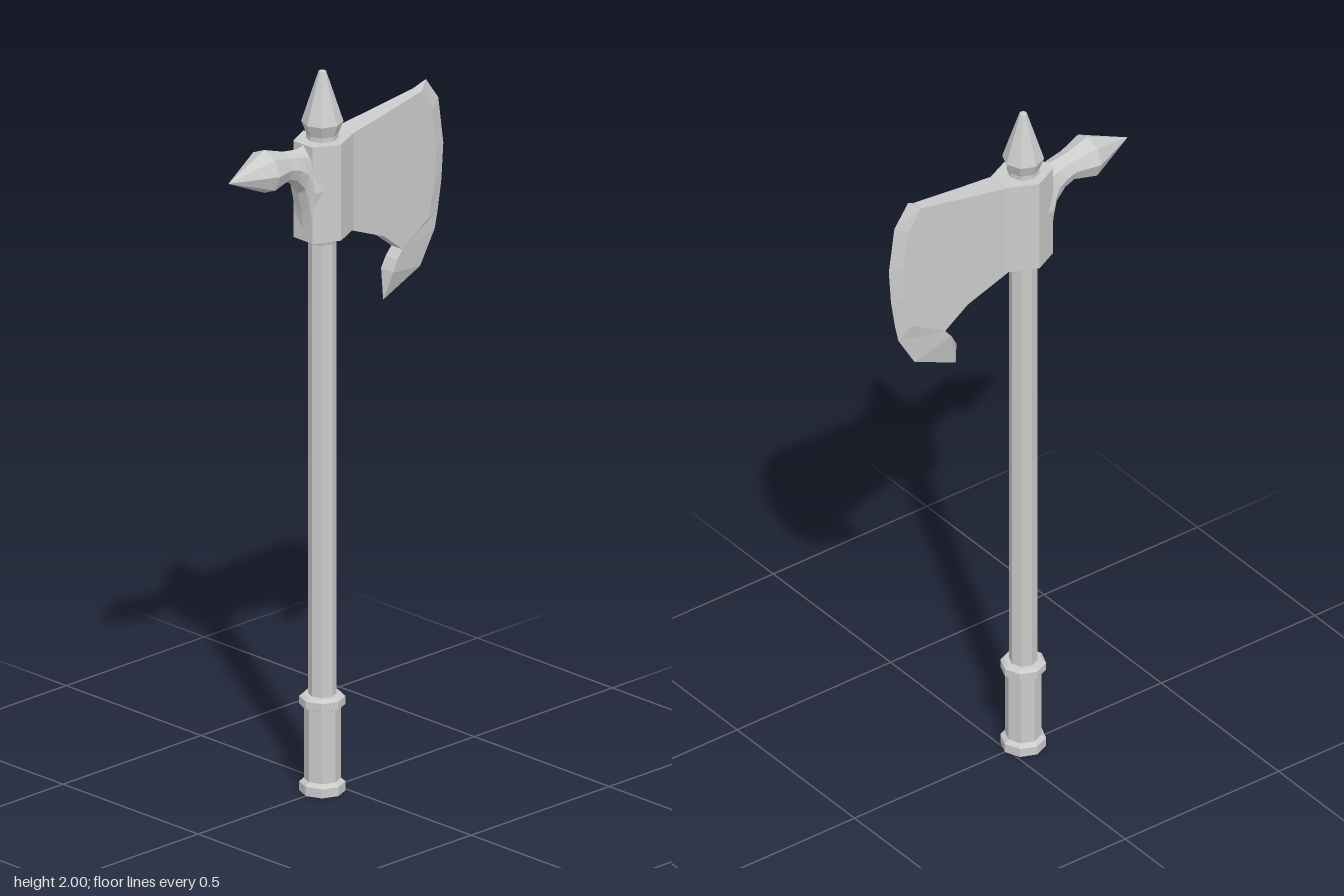
import * as THREE from 'three';

const AXIS_X = -0.05; // the shaft stands left of centre, balancing the blade

const material = new THREE.MeshStandardMaterial({ color: 0xcccccc, flatShading: true });

function addMesh(group, name, geometry) {
  const mesh = new THREE.Mesh(geometry, material);
  mesh.name = name;
  group.add(mesh);
  return mesh;
}

// Closed solid through equal-sized loops of [x, y, z]; loops run counter-clockwise
// about the stacking direction. Both ends are capped with strips.
function loft(loops) {
  const n = loops[0].length;
  const index = [];
  const quad = (a, b, c, d) => index.push(a, b, c, a, c, d);
  for (let j = 0; j < loops.length - 1; j++) {
    for (let i = 0; i < n; i++) {
      const k = (i + 1) % n;
      quad(j * n + i, j * n + k, (j + 1) * n + k, (j + 1) * n + i);
    }
  }
  const last = (loops.length - 1) * n;
  for (let i = 0; i < (n - 1) / 2; i++) {
    const a = i, b = i + 1, c = n - 2 - i, d = n - 1 - i;
    if (b > c) continue;
    quad(d, c, b, a);
    quad(last + a, last + b, last + c, last + d);
  }
  const geometry = new THREE.BufferGeometry();
  geometry.setAttribute('position', new THREE.Float32BufferAttribute(loops.flat(2), 3));
  geometry.setIndex(index);
  const flat = geometry.toNonIndexed();
  flat.computeVertexNormals();
  return flat;
}

// Eight-sided turned part about the shaft axis, from [radius, y] pairs
function turned(group, name, profile) {
  const points = profile.map(([r, y]) => new THREE.Vector2(r, y));
  addMesh(group, name, new THREE.LatheGeometry(points, 8)).position.x = AXIS_X;
}

// Blade section: [x, y] points from root to cutting edge, thinning to zero at the edge
function bladeLoop(row) {
  const thickness = (x) => 0.033 - (x - 0.03) * 0.066;
  const inner = row.slice(0, -1);
  const [ex, ey] = row[row.length - 1];
  const side = (s) => inner.map(([x, y]) => [x, y, s * thickness(x)]);
  return [...side(-1), [ex, ey, 0], ...side(1).reverse()];
}

// Octagonal section across the back pick
function pickLoop([x, top, bottom, halfWidth]) {
  const loop = [];
  for (let i = 0; i < 8; i++) {
    const a = (i * Math.PI) / 4;
    loop.push([x, (top + bottom) / 2 + (Math.cos(a) * (top - bottom)) / 2, Math.sin(a) * halfWidth]);
  }
  return loop;
}

export function createModel() {
  const axe = new THREE.Group();
  axe.name = 'battleAxe';

  // Handle
  turned(axe, 'shaft', [[0, 0.25], [0.037, 0.25], [0.037, 1.56], [0, 1.56]]);
  turned(axe, 'grip', [
    [0, 0], [0.06, 0], [0.06, 0.025], [0.048, 0.035], [0.048, 0.235],
    [0.06, 0.24], [0.06, 0.262], [0.05, 0.27], [0, 0.27],
  ]);
  turned(axe, 'lowerCollar', [[0, 1.525], [0.039, 1.525], [0.046, 1.55], [0, 1.55]]);
  turned(axe, 'topSpike', [
    [0, 1.8], [0.042, 1.8], [0.042, 1.825], [0.055, 1.858], [0.01, 1.997], [0, 2],
  ]);

  // Six-sided socket around the shaft
  const plan = [[-0.05, 0.07], [0.03, 0.033], [0.03, -0.033], [-0.05, -0.07], [-0.12, -0.036], [-0.12, 0.036]];
  addMesh(axe, 'socket', loft([1.545, 1.812].map((y) => plan.map(([x, z]) => [x, y, z]))));

  // Blade body: root, middle, bevel line, cutting edge
  const rows = [
    [[0.02, 1.81], [0.15, 1.829], [0.295, 1.852], [0.325, 1.873]],
    [[0.02, 1.75], [0.17, 1.77], [0.335, 1.79], [0.37, 1.81]],
    [[0.02, 1.68], [0.18, 1.68], [0.352, 1.68], [0.388, 1.68]],
    [[0.02, 1.62], [0.17, 1.6], [0.345, 1.58], [0.381, 1.58]],
    [[0.02, 1.57], [0.16, 1.53], [0.32, 1.49], [0.368, 1.5]],
    [[0.02, 1.545], [0.15, 1.49], [0.22, 1.434], [0.357, 1.45]],
  ];
  addMesh(axe, 'blade', loft(rows.map(bladeLoop)));

  // Hooked lower horn of the blade
  const horn = [
    [[0.22, 1.434], [0.357, 1.45]],
    [[0.2, 1.41], [0.304, 1.36]],
    [[0.185, 1.38], [0.17, 1.302]],
  ];
  addMesh(axe, 'bladeHorn', loft(horn.map(bladeLoop)));

  // Back pick, swelling behind its point and flaring down into the socket
  const pick = [
    [-0.388, 1.776, 1.774, 0.001],
    [-0.26, 1.834, 1.715, 0.058],
    [-0.195, 1.812, 1.73, 0.04],
    [-0.165, 1.807, 1.716, 0.04],
    [-0.138, 1.805, 1.68, 0.04],
    [-0.125, 1.808, 1.62, 0.042],
    [-0.118, 1.812, 1.56, 0.044],
    [-0.08, 1.812, 1.56, 0.052],
  ];
  addMesh(axe, 'backPick', loft(pick.map(pickLoop)));

  return axe;
}
